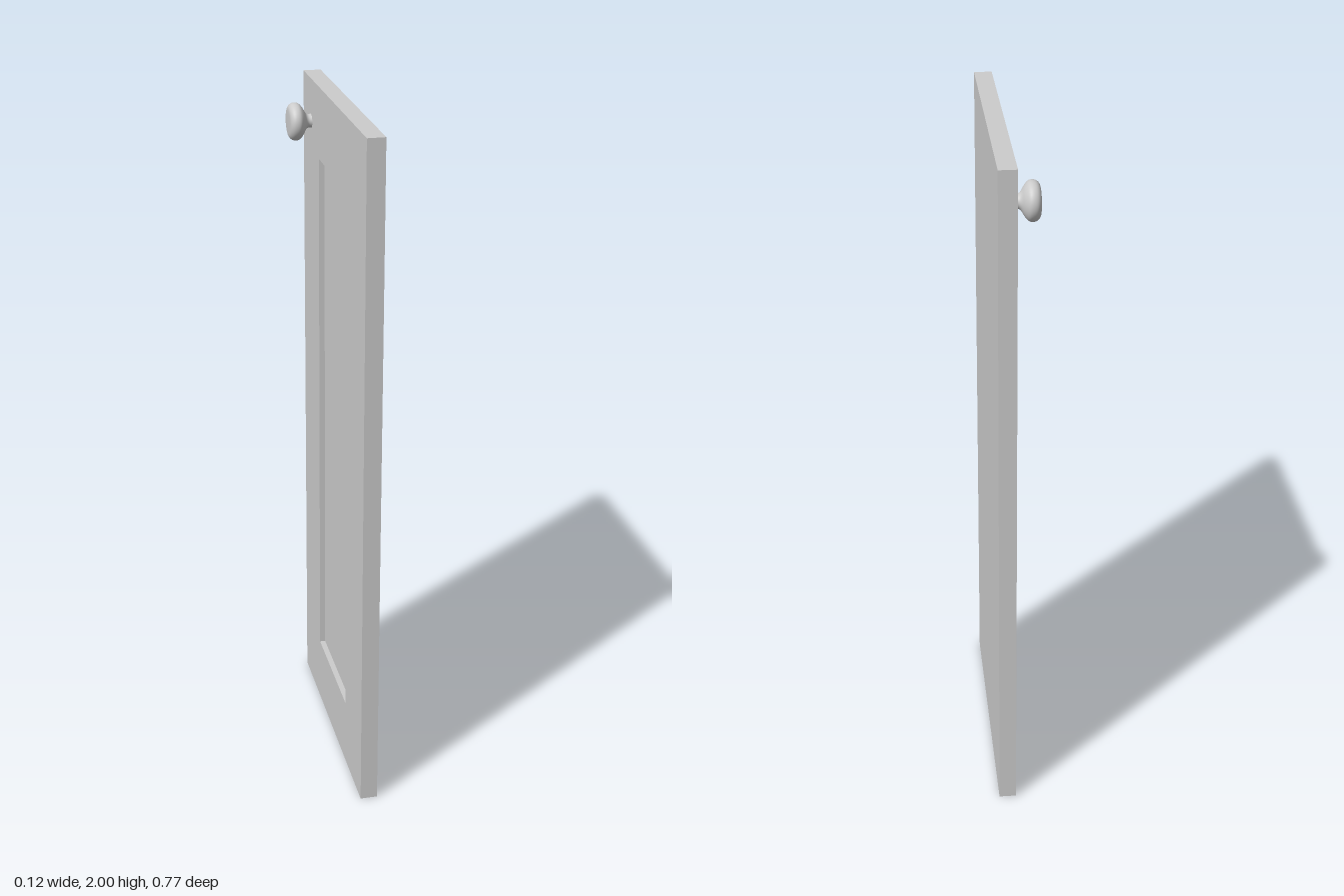
import * as THREE from 'three';

export function createModel() {
  const group = new THREE.Group();
  const material = new THREE.MeshStandardMaterial({ color: 0xcccccc });
  const add = (name, geometry) => {
    const mesh = new THREE.Mesh(geometry, material);
    mesh.name = name;
    group.add(mesh);
    return mesh;
  };

  const height = 2, width = 0.77, border = 0.205;
  const faceX = 0.008, panelX = 0.0245, backX = 0.058;

  // Flat slab behind the frame: the recessed panel and the plain rear side
  add('panel', new THREE.BoxGeometry(backX - panelX, height, width))
    .position.set((panelX + backX) / 2, height / 2, 0);

  // Raised border around the recess, facing -x
  const rect = (path, inset) => {
    const z = width / 2 - inset;
    return path.moveTo(-z, inset).lineTo(z, inset)
      .lineTo(z, height - inset).lineTo(-z, height - inset).closePath();
  };
  const outline = rect(new THREE.Shape(), 0);
  outline.holes.push(rect(new THREE.Path(), border));
  const frame = new THREE.ExtrudeGeometry(outline, { depth: panelX - faceX, bevelEnabled: false });
  frame.rotateY(-Math.PI / 2);
  add('frame', frame).position.x = panelX;

  // Round knob: narrow stem flaring into a flattened head
  const profile = new THREE.SplineCurve([
    [0.02, 0], [0.0195, 0.009], [0.025, 0.017], [0.04, 0.026], [0.051, 0.036],
    [0.0537, 0.047], [0.0505, 0.058], [0.041, 0.0655], [0.025, 0.0675], [0, 0.068],
  ].map(([r, y]) => new THREE.Vector2(r, y))).getPoints(36);
  profile[profile.length - 1].x = 0;
  const knob = new THREE.LatheGeometry(profile, 40);
  knob.rotateZ(Math.PI / 2);
  add('knob', knob).position.set(faceX, 1.878, -0.285);

  return group;
}
